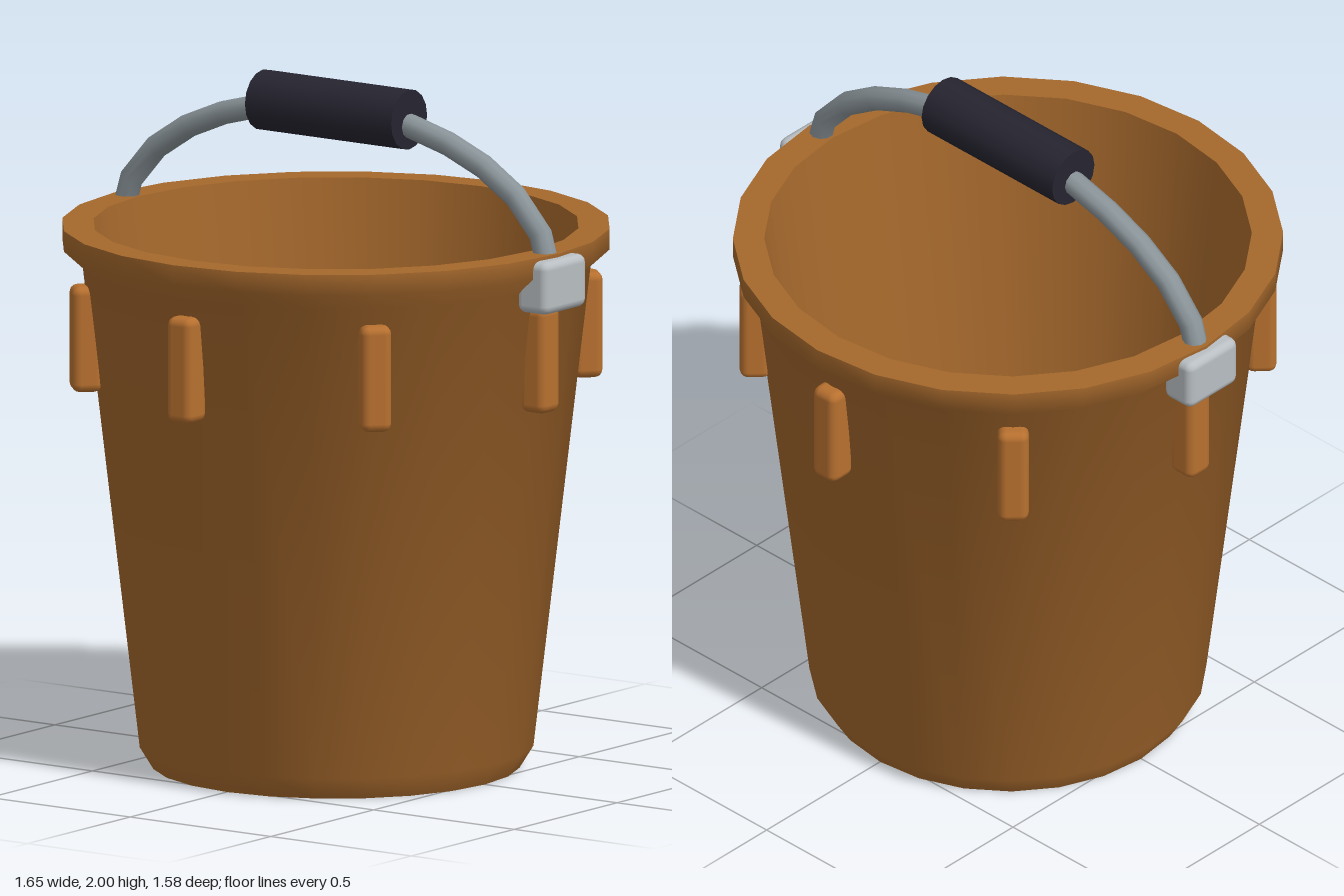
import * as THREE from 'three';
import { toCreasedNormals } from 'three/addons/utils/BufferGeometryUtils.js';
import { RoundedBoxGeometry } from 'three/addons/geometries/RoundedBoxGeometry.js';

const material = (name, color) => {
  const m = new THREE.MeshStandardMaterial({ color });
  m.name = name;
  return m;
};

export function createModel() {
  const model = new THREE.Group();
  model.name = 'bucket';

  const brown = material('brown', 0xa5682c);
  const lightBrown = material('light brown', 0xb7702f);
  const steel = material('steel grey', 0x899398);
  const paleGrey = material('pale grey', 0xb8bec2);
  const charcoal = material('charcoal', 0x252430);

  const add = (name, geometry, mat, parent = model) => {
    const mesh = new THREE.Mesh(geometry, mat);
    mesh.name = name;
    parent.add(mesh);
    return mesh;
  };

  // Hollow body: outside from the base to the rim, then inside down to the floor
  const profile = [
    [0, 0], [0.53, 0], [0.57, 0.065], [0.735, 1.47], [0.79, 1.52],
    [0.79, 1.58], [0.7, 1.58], [0.525, 0.065], [0, 0.065],
  ].map(([r, y]) => new THREE.Vector2(r, y));
  add('body', toCreasedNormals(new THREE.LatheGeometry(profile, 24), 0.9), brown);

  // Eight upright ribs below the rim
  const ribs = new THREE.Group();
  ribs.name = 'ribs';
  model.add(ribs);
  const ribShape = new RoundedBoxGeometry(0.09, 0.31, 0.09, 2, 0.025);
  for (let i = 0; i < 8; i++) {
    const a = (i * Math.PI) / 4;
    const rib = add('rib', ribShape, lightBrown, ribs);
    rib.position.set(Math.sin(a) * 0.726, 1.267, Math.cos(a) * 0.726);
    rib.rotation.y = a;
  }

  // Brackets holding the handle ends
  const bracketShape = new RoundedBoxGeometry(0.11, 0.155, 0.205, 2, 0.025);
  for (const [name, side] of [['leftBracket', 1], ['rightBracket', -1]]) {
    add(name, bracketShape, paleGrey).position.set(side * 0.768, 1.493, 0);
  }

  // Arched handle
  const arch = [];
  for (let i = 0; i <= 12; i++) {
    const a = (i * Math.PI) / 12;
    arch.push(new THREE.Vector3(Math.cos(a) * 0.765, 1.5 + Math.sin(a) * 0.42, 0));
  }
  const curve = new THREE.CatmullRomCurve3(arch);
  add('handle', new THREE.TubeGeometry(curve, 14, 0.035, 10), steel);

  // Grip around the middle of the handle
  const grip = add('grip', new THREE.CylinderGeometry(0.0875, 0.0875, 0.52, 16), charcoal);
  grip.rotation.z = Math.PI / 2;
  grip.position.y = 1.9125;

  return model;
}
